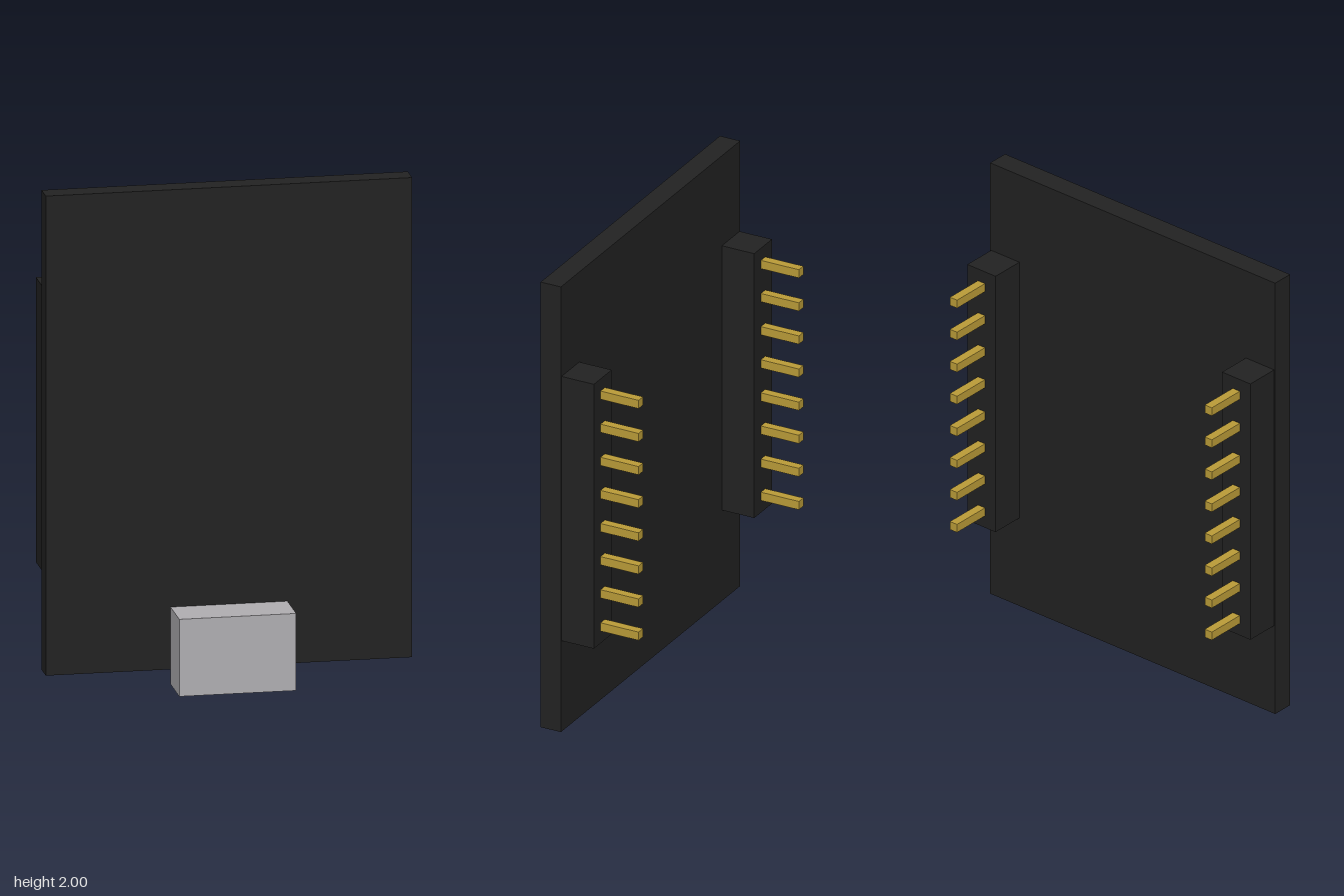
import * as THREE from 'three';

const paint = (name, color) => {
  const m = new THREE.MeshStandardMaterial({ color });
  m.name = name;
  return m;
};

export function createModel() {
  const black = paint('boardBlack', 0x222222);
  const silver = paint('connectorSilver', 0xb0aeb2);
  const gold = paint('pinGold', 0xbb9c38);
  const model = new THREE.Group();
  model.name = 'circuitBoard';

  // Box given by its lower and upper limits on each axis
  const box = (name, material, [x0, x1], [y0, y1], [z0, z1], parent = model) => {
    const mesh = new THREE.Mesh(new THREE.BoxGeometry(x1 - x0, y1 - y0, z1 - z0), material);
    mesh.position.set((x0 + x1) / 2, (y0 + y1) / 2, (z0 + z1) / 2);
    mesh.name = name;
    parent.add(mesh);
  };

  box('board', black, [-0.727, 0.727], [0.06, 2], [0.02, 0.11]);
  box('cableSocket', silver, [-0.232, 0.232], [0, 0.312], [0.11, 0.293]);

  // Pin header on each side of the back
  for (const side of [-1, 1]) {
    const header = new THREE.Group();
    header.name = side > 0 ? 'leftPinHeader' : 'rightPinHeader';
    model.add(header);
    const x = side * 0.65;
    box('headerBlock', black, [x - 0.072, x + 0.072], [0.456, 1.608], [-0.124, 0.02], header);
    for (let i = 0; i < 8; i++) {
      const y = 0.527 + i * 0.1443;
      box('pin', gold, [x - 0.018, x + 0.018], [y - 0.018, y + 0.018], [-0.293, -0.12], header);
    }
  }
  return model;
}
